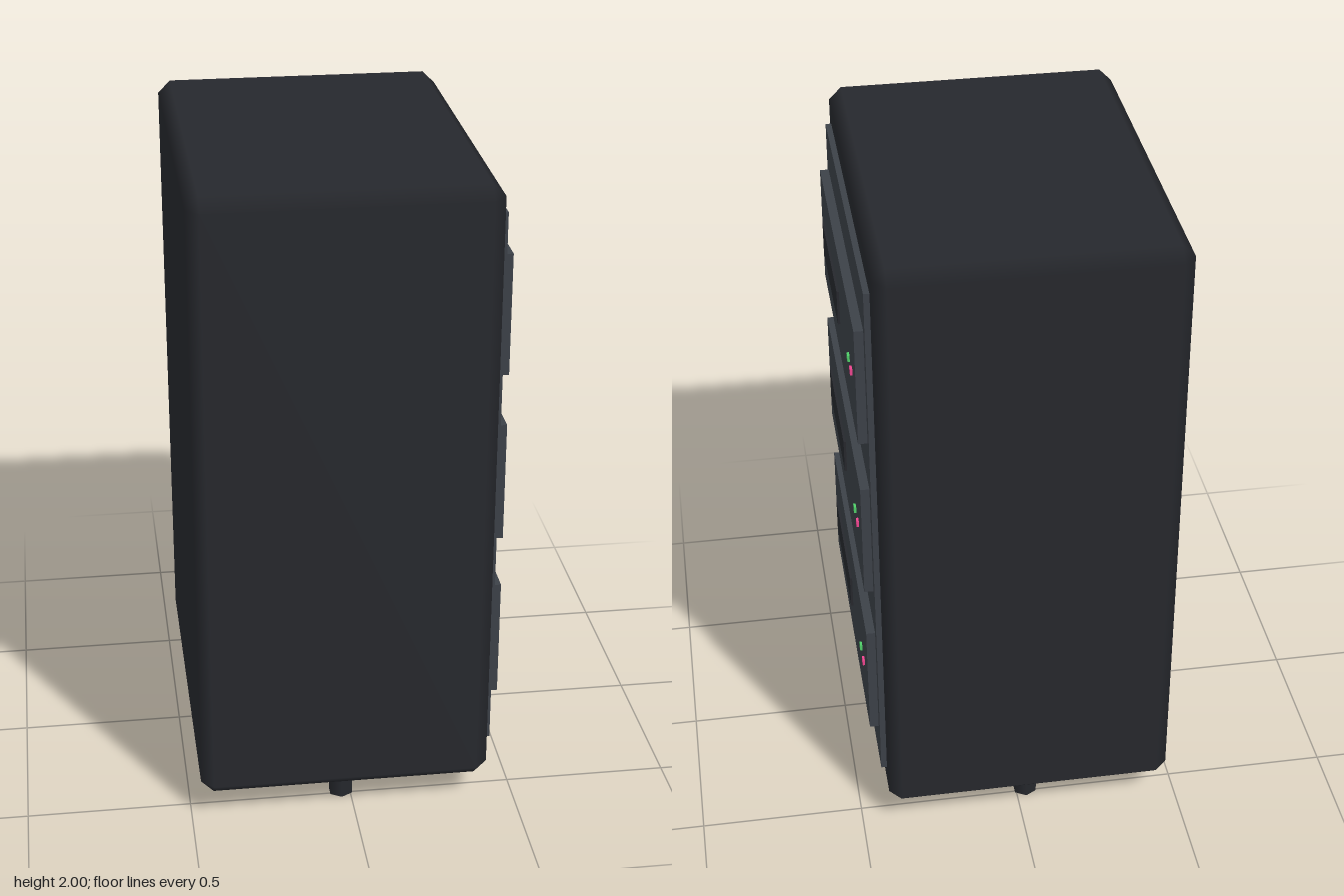
import * as THREE from 'three';
import { ConvexGeometry } from 'three/addons/geometries/ConvexGeometry.js';

// Box with chamfered edges; normals follow the large faces so the chamfers shade softly
function chamferBox(w, h, d, c) {
  const half = [w / 2, h / 2, d / 2];
  const points = [];
  for (let axis = 0; axis < 3; axis++)
    for (const sx of [-1, 1]) for (const sy of [-1, 1]) for (const sz of [-1, 1]) {
      const p = [sx, sy, sz].map((s, i) => s * (half[i] - (i === axis ? 0 : c)));
      points.push(new THREE.Vector3(...p));
    }
  const geometry = new ConvexGeometry(points);
  const pos = geometry.attributes.position, normal = geometry.attributes.normal;
  for (let i = 0; i < pos.count; i++) {
    const p = [pos.getX(i), pos.getY(i), pos.getZ(i)];
    const n = p.map((v, k) => (Math.abs(v) > half[k] - c / 2 ? Math.sign(v) : 0));
    normal.setXYZ(i, ...n);
  }
  return geometry;
}

export function createModel() {
  const model = new THREE.Group();
  const material = (color) => new THREE.MeshStandardMaterial({ color });
  const dark = material(0x26282d);
  const slate = material(0x3c4148);
  const green = material(0x4fd069);
  const pink = material(0xf04590);

  const add = (parent, name, geometry, mat, x, y, z) => {
    const mesh = new THREE.Mesh(geometry, mat);
    mesh.name = name;
    mesh.position.set(x, y, z);
    parent.add(mesh);
    return mesh;
  };
  // Plate standing on the +x side, given by its x range and its size in y and z
  const plate = (parent, name, mat, x0, x1, y, z, h, d) =>
    add(parent, name, new THREE.BoxGeometry(x1 - x0, h, d), mat, (x0 + x1) / 2, y, z);

  // Cabinet
  add(model, 'cabinet', chamferBox(0.885, 1.913, 1.21, 0.038), dark, -0.027, 1.0435, 0);
  plate(model, 'facePanel', slate, 0.38, 0.433, 1.0425, 0.002, 1.715, 1.045);

  // Three equipment units with slot and status lights
  [1.577, 1.045, 0.513].forEach((y, i) => {
    const unit = new THREE.Group();
    unit.name = `unit${i + 1}`;
    plate(unit, 'unitFront', slate, 0.42, 0.46, y, 0.001, 0.372, 0.972);
    plate(unit, 'slot', dark, 0.44, 0.467, y, 0.176, 0.11, 0.434);
    plate(unit, 'greenLight', green, 0.44, 0.467, y, -0.315, 0.02, 0.02);
    plate(unit, 'pinkLight', pink, 0.44, 0.467, y, -0.387, 0.02, 0.02);
    model.add(unit);
  });

  // Hexagonal feet
  for (const side of [-1, 1])
    add(model, side > 0 ? 'frontFoot' : 'backFoot',
      new THREE.CylinderGeometry(0.039, 0.039, 0.12, 6), dark, -0.029, 0.06, side * 0.486);

  return model;
}
